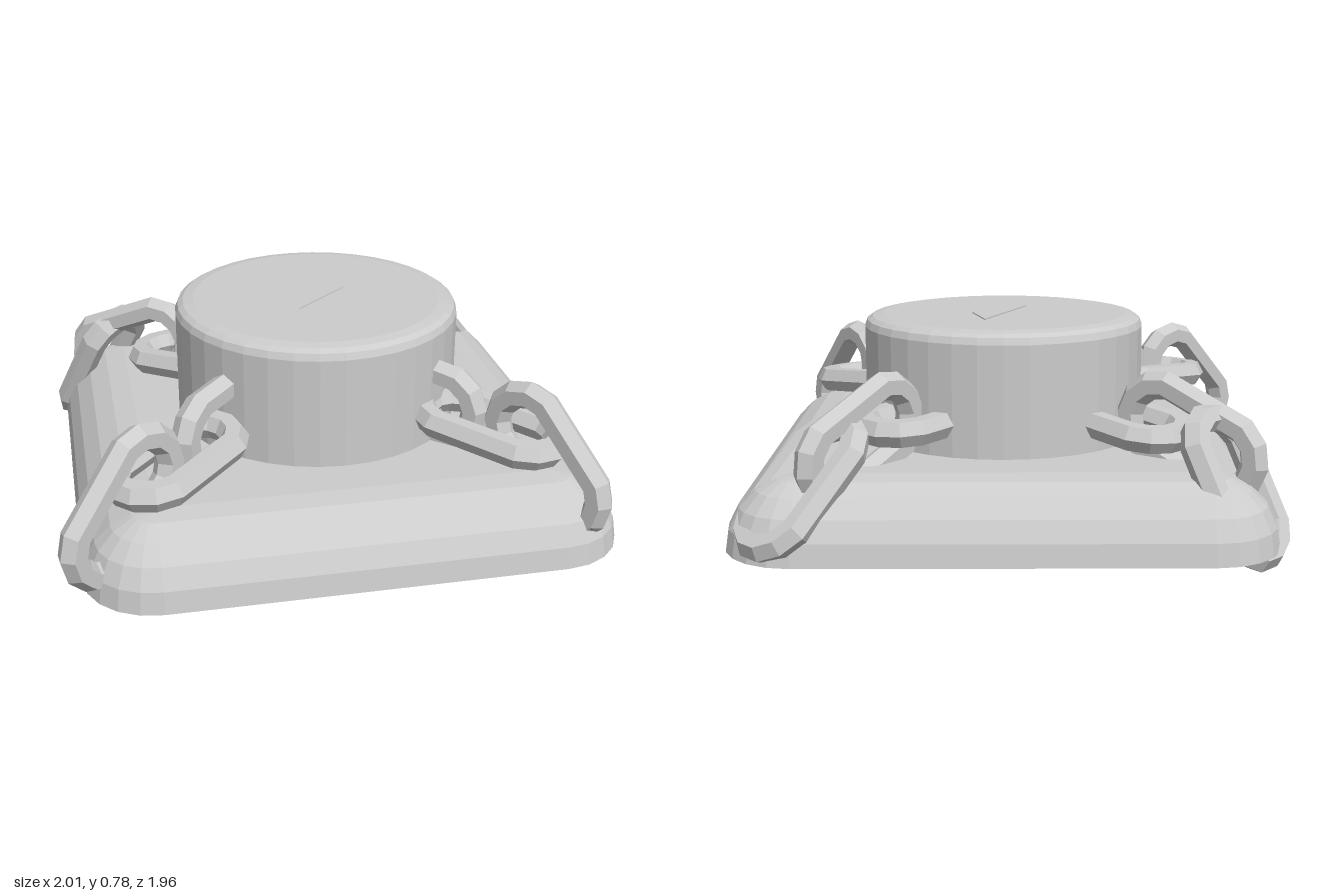
import * as THREE from 'three';

const material = new THREE.MeshStandardMaterial({ color: 0xcccccc, flatShading: true });

function addMesh(parent, geometry, name) {
  const mesh = new THREE.Mesh(geometry, material);
  mesh.name = name;
  parent.add(mesh);
  return mesh;
}

// Rounded-square slab: flat underneath, quarter-round rim on top
function slabGeometry(half, radius, rings = 5, cornerSteps = 5) {
  const positions = [], index = [];
  const core = half - radius;
  const count = 4 * (cornerSteps + 1);
  for (let i = 0; i <= rings; i++) {
    const a = (i / rings) * Math.PI / 2;
    for (let c = 0; c < 4; c++) {
      const mid = (c + 0.5) * Math.PI / 2;
      for (let k = 0; k <= cornerSteps; k++) {
        const phi = (c + k / cornerSteps) * Math.PI / 2;
        positions.push(
          Math.sign(Math.cos(mid)) * core + Math.cos(phi) * Math.cos(a) * radius,
          Math.sin(a) * radius,
          Math.sign(Math.sin(mid)) * core + Math.sin(phi) * Math.cos(a) * radius
        );
      }
    }
  }
  const bottom = positions.length / 3, top = bottom + 1;
  positions.push(0, 0, 0, 0, radius, 0);
  for (let j = 0; j < count; j++) {
    const n = (j + 1) % count, last = rings * count;
    for (let i = 0; i < rings; i++) {
      const lo = i * count, hi = lo + count;
      index.push(lo + j, hi + j, lo + n, lo + n, hi + j, hi + n);
    }
    index.push(bottom, j, n, top, last + n, last + j);
  }
  const geometry = new THREE.BufferGeometry();
  geometry.setAttribute('position', new THREE.Float32BufferAttribute(positions, 3));
  geometry.setIndex(index);
  geometry.computeVertexNormals();
  return geometry;
}

// Chain link: low-poly ring pulled apart along x into an oval
function linkGeometry() {
  const geometry = new THREE.TorusGeometry(0.13, 0.053, 6, 12);
  geometry.rotateZ(Math.PI / 12);
  const p = geometry.attributes.position;
  for (let i = 0; i < p.count; i++) p.setX(i, p.getX(i) + Math.sign(p.getX(i)) * 0.13);
  geometry.computeVertexNormals();
  return geometry;
}

// Each link: centre, outward heading (x, z), downward tilt, lying flat or upright
const chains = {
  frontRightChain: [
    { at: [-0.36, 0.47, 0.33], dir: [-0.7, 0.7], tilt: 0.1, flat: false },
    { at: [-0.585, 0.44, 0.57], dir: [-0.7, 0.7], tilt: 0.08, flat: true },
    { at: [-0.785, 0.365, 0.735], dir: [-0.43, 0.32], tilt: 0.8, flat: false }
  ],
  frontLeftChain: [
    { at: [0.34, 0.48, 0.30], dir: [0.7, 0.65], tilt: 0.15, flat: false },
    { at: [0.575, 0.43, 0.52], dir: [0.7, 0.68], tilt: 0.1, flat: true },
    { at: [0.725, 0.38, 0.725], dir: [0.32, 0.44], tilt: 0.8, flat: false }
  ],
  backRightChain: [
    { at: [-0.40, 0.43, -0.33], dir: [-0.7, -0.7], tilt: 0.1, flat: true },
    { at: [-0.64, 0.41, -0.535], dir: [-0.48, -0.33], tilt: 0.4, flat: false },
    { at: [-0.775, 0.28, -0.71], dir: [-0.7, -0.7], tilt: 1.05, flat: true }
  ],
  backLeftChain: [
    { at: [0.31, 0.45, -0.36], dir: [0.65, -0.7], tilt: 0.05, flat: true },
    { at: [0.53, 0.42, -0.62], dir: [0.34, -0.41], tilt: 0.4, flat: false },
    { at: [0.72, 0.3, -0.77], dir: [0.7, -0.7], tilt: 0.74, flat: true }
  ]
};

export function createModel() {
  const model = new THREE.Group();
  model.name = 'chainedPedestal';

  // Base slab
  addMesh(model, slabGeometry(0.968, 0.26), 'base').position.set(0.03, 0.07, 0);

  // Drum with a softened top edge
  const profile = [[0, 0.3], [0.54, 0.3], [0.54, 0.745], [0.53, 0.77], [0.51, 0.783], [0.47, 0.79], [0, 0.79]]
    .map(([x, y]) => new THREE.Vector2(x, y));
  addMesh(model, new THREE.LatheGeometry(profile, 36), 'drum').position.x = 0.03;

  // Thin shard set in the drum top
  const shard = new THREE.Shape([[0.10, 0.23], [-0.06, -0.14], [0.15, 0.05]]
    .map(([x, y]) => new THREE.Vector2(x, y)));
  const shardMesh = addMesh(model,
    new THREE.ExtrudeGeometry(shard, { depth: 0.01, bevelEnabled: false }), 'topShard');
  shardMesh.rotation.x = -Math.PI / 2;
  shardMesh.position.y = 0.784;

  // Four chains running from the drum to the base corners
  const link = linkGeometry();
  for (const [name, links] of Object.entries(chains)) {
    const chain = new THREE.Group();
    chain.name = name;
    links.forEach(({ at, dir, tilt, flat }, i) => {
      const mesh = addMesh(chain, link, `chainLink${i + 1}`);
      mesh.position.set(...at);
      mesh.rotation.set(flat ? Math.PI / 2 : 0, Math.atan2(-dir[1], dir[0]), -tilt, 'YZX');
    });
    model.add(chain);
  }
  return model;
}
